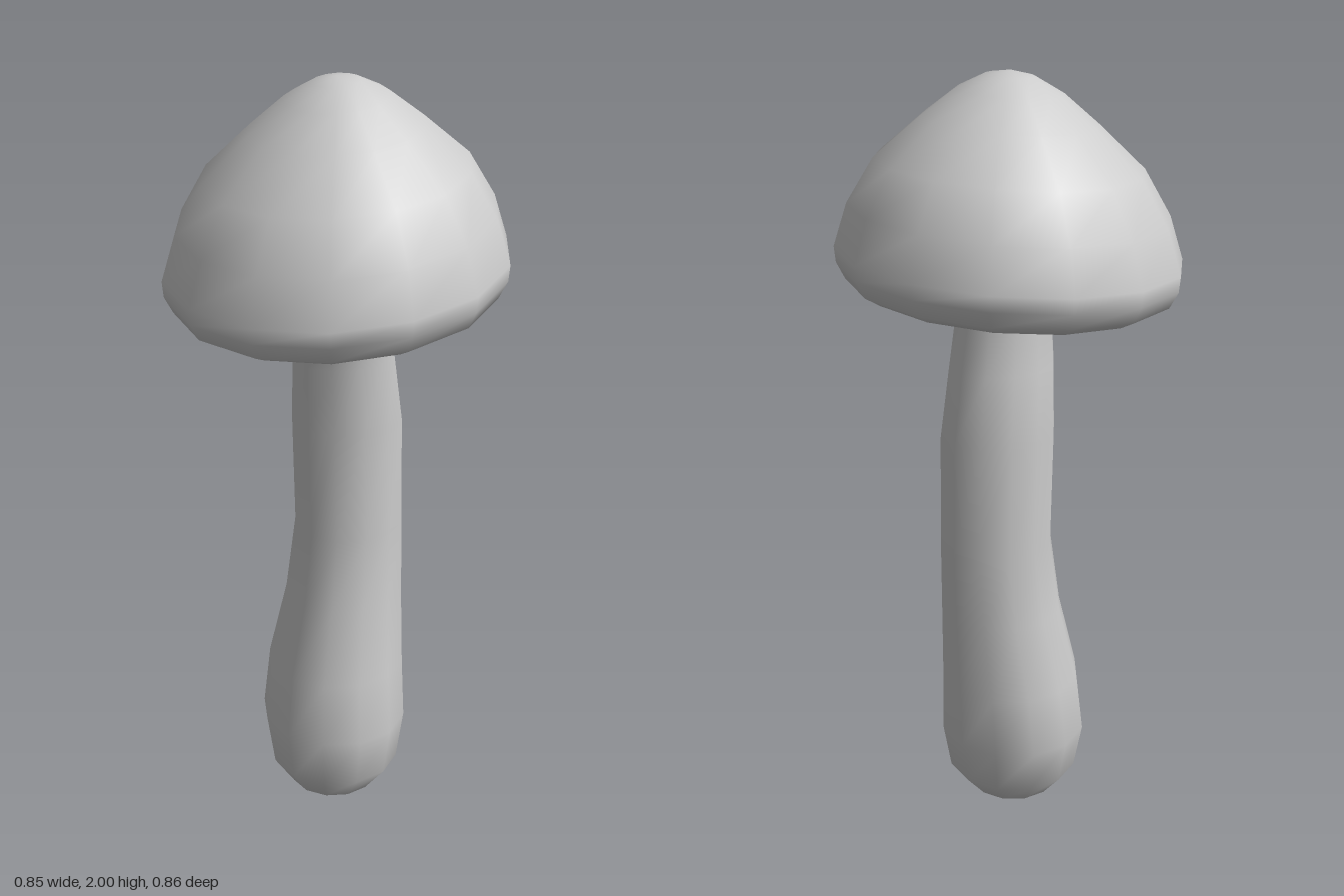
import * as THREE from 'three';
import { mergeVertices } from 'three/addons/utils/BufferGeometryUtils.js';

const material = new THREE.MeshStandardMaterial({ color: 0xcccccc });

// Smooth skin over elliptical rings listed as [y, rx, rz, cx, cz];
// tiltX and tiltZ slant the rings.
function loft(name, rings, sides, phase, tiltX = 0, tiltZ = 0) {
  const positions = [], index = [];
  rings.forEach(([y, rx, rz = rx, cx = 0, cz = 0], j) => {
    for (let i = 0; i < sides; i++) {
      const a = phase + (i / sides) * Math.PI * 2;
      const x = cx + rx * Math.cos(a), z = cz + rz * Math.sin(a);
      positions.push(x, y + tiltX * x + tiltZ * z, z);
      if (j === rings.length - 1) continue;
      const p = j * sides + i, q = j * sides + (i + 1) % sides;
      if (rx > 0) index.push(p, p + sides, q);
      if (rings[j + 1][1] > 0) index.push(q, p + sides, q + sides);
    }
  });
  let geometry = new THREE.BufferGeometry();
  geometry.setAttribute('position', new THREE.Float32BufferAttribute(positions, 3));
  geometry.setIndex(index);
  geometry = mergeVertices(geometry);
  geometry.computeVertexNormals();
  const mesh = new THREE.Mesh(geometry, material);
  mesh.name = name;
  return mesh;
}

export function createModel() {
  const model = new THREE.Group();
  model.name = 'mushroom';

  // Tilted cap: hollow underside, rolled rim, then the dome up to the tip
  const cap = [
    [1.51, 0.11], [1.54, 0.17], [1.51, 0.26], [1.465, 0.325], [1.445, 0.365],
    [1.467, 0.405], [1.51, 0.427], [1.55, 0.431], [1.66, 0.397], [1.775, 0.33],
    [1.88, 0.215], [1.95, 0.13], [1.988, 0.06], [2, 0],
  ];
  model.add(loft('cap', cap, 14, 0.26, 0.09, -0.045));

  // Bent stem with a bulbous foot, flaring where it meets the cap
  const stem = [
    [0, 0, 0, 0, -0.02], [0.006, 0.05, 0.05, 0, -0.02], [0.035, 0.115, 0.115, 0, -0.02],
    [0.11, 0.172, 0.178, 0.005, -0.025], [0.24, 0.192, 0.203, 0.01, -0.038],
    [0.4, 0.183, 0.182, 0.02, -0.045], [0.6, 0.16, 0.147, 0.045, -0.047],
    [0.8, 0.147, 0.132, 0.06, -0.05], [1.1, 0.149, 0.13, 0.053, -0.047],
    [1.28, 0.136, 0.118, 0.036, -0.032], [1.42, 0.122, 0.116, 0.022, -0.012],
    [1.49, 0.132, 0.13, 0.012, 0], [1.56, 0.18, 0.18],
  ];
  model.add(loft('stem', stem, 12, 0.1));

  return model;
}
